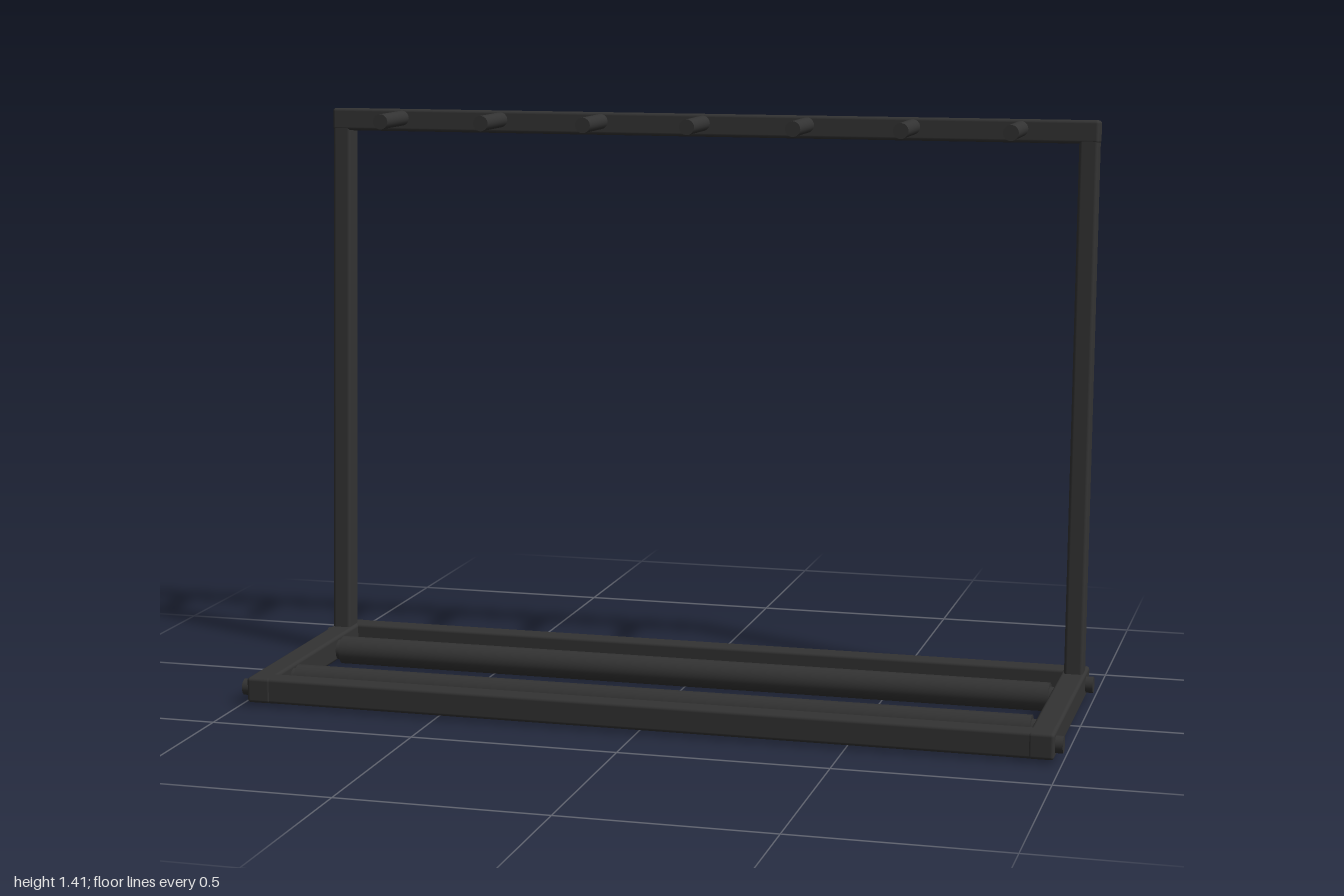
import * as THREE from 'three';
import { RoundedBoxGeometry } from 'three/addons/geometries/RoundedBoxGeometry.js';

export function createModel() {
  const model = new THREE.Group();
  const metal = new THREE.MeshStandardMaterial({ color: 0x333333 });

  const add = (name, geometry, x, y, z, parent = model) => {
    const mesh = new THREE.Mesh(geometry, metal);
    mesh.name = name;
    mesh.position.set(x, y, z);
    parent.add(mesh);
    return mesh;
  };
  const bar = (w, h, d) => new RoundedBoxGeometry(w, h, d, 3, 0.008);
  const rodX = (r, length) => new THREE.CylinderGeometry(r, r, length, 24).rotateZ(Math.PI / 2);
  const rodZ = (r, length) => new THREE.CylinderGeometry(r, r, length, 24).rotateX(Math.PI / 2);

  // Base frame: front and back rails between two side rails
  const railY = 0.041;
  add('frontRail', bar(1.96, 0.062, 0.055), 0, railY, 0.31);
  add('backRail', bar(1.96, 0.062, 0.055), 0, railY, -0.281);
  for (const s of [-1, 1]) {
    add('sideRail', bar(0.06, 0.062, 0.65), s * 0.952, railY, 0.014);
    // Bolt heads on the outer faces
    for (const z of [0.307, -0.245]) add('bolt', rodX(0.02, 0.04), s * 0.98, railY, z);
  }

  // Round support tubes with narrower ends reaching the side rails
  for (const z of [0.186, -0.118]) {
    add('supportTube', rodX(0.035, 1.82), 0, 0.037, z);
    add('supportTubeCore', rodX(0.025, 1.86), 0, 0.037, z);
  }

  // Upper frame, leaning backwards
  const upper = new THREE.Group();
  upper.name = 'upperFrame';
  upper.position.set(0, 0.05, -0.244);
  upper.rotation.x = -Math.atan(0.067 / 1.34);
  model.add(upper);
  for (const s of [-1, 1]) add('upright', bar(0.046, 1.365, 0.062), s * 0.953, 0.6825, 0, upper);
  add('topRail', bar(1.955, 0.056, 0.063), 0, 1.338, 0, upper);

  // Seven level pegs pointing forward from the top rail
  for (let i = -3; i <= 3; i++) add('peg', rodZ(0.019, 0.185), i * 0.263, 1.393, -0.2175);

  return model;
}
